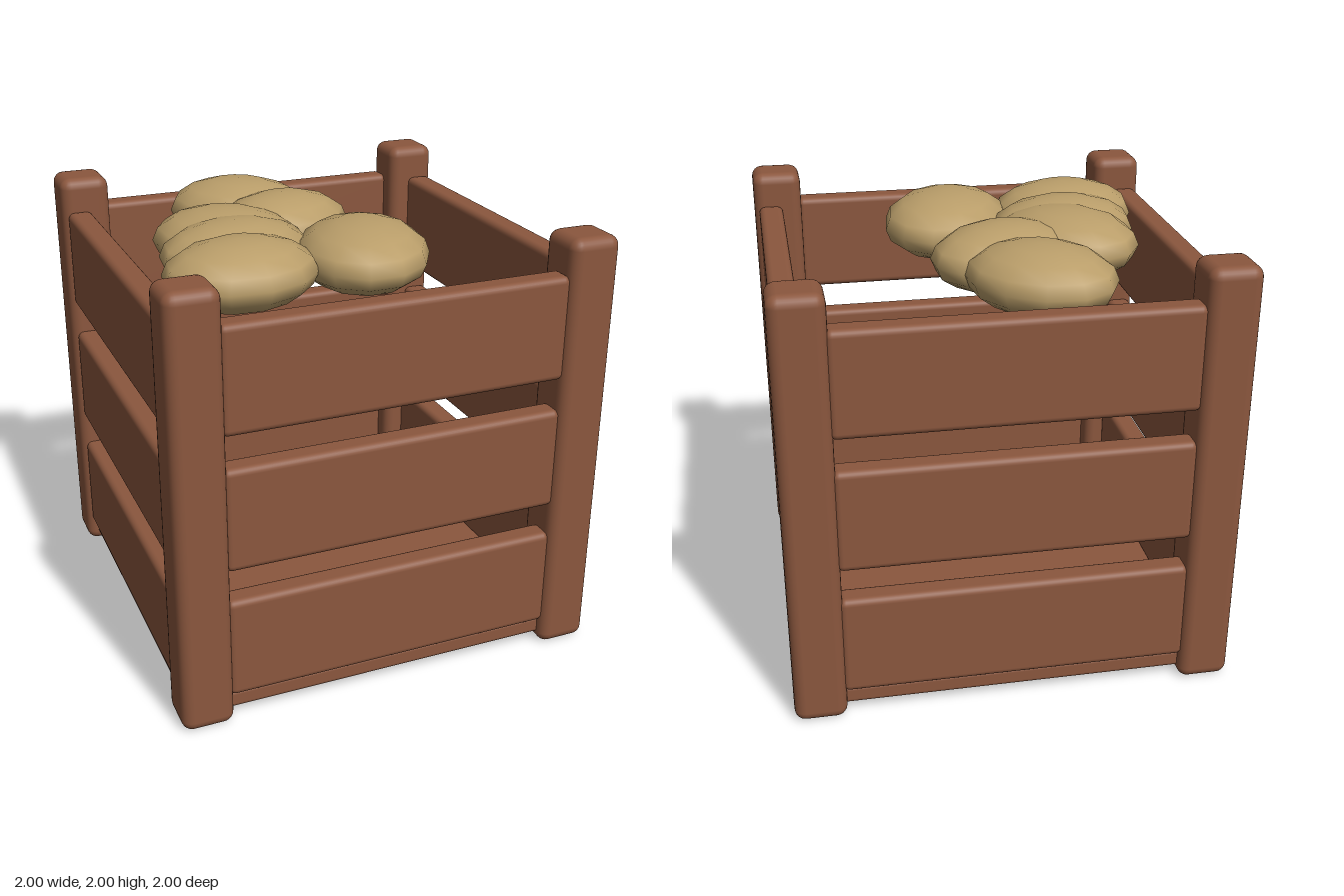
import * as THREE from 'three';
import { RoundedBoxGeometry } from 'three/addons/geometries/RoundedBoxGeometry.js';

export function createModel() {
  const model = new THREE.Group();
  model.name = 'potatoCrate';

  const wood = new THREE.MeshStandardMaterial({ color: 0x8b573e });
  wood.name = 'brownWood';
  const skin = new THREE.MeshStandardMaterial({ color: 0xba9e6a });
  skin.name = 'potatoSkin';

  const add = (name, geometry, material, x, y, z, turn = 0) => {
    const mesh = new THREE.Mesh(geometry, material);
    mesh.name = name;
    mesh.position.set(x, y, z);
    mesh.rotation.y = turn;
    model.add(mesh);
    return mesh;
  };

  // Corner posts
  const postGeometry = new RoundedBoxGeometry(0.235, 2, 0.235, 3, 0.05);
  for (const x of [-1, 1]) {
    for (const z of [-1, 1]) add('cornerPost', postGeometry, wood, x * 0.8825, 1, z * 0.8825);
  }

  // Three slats on each of the four sides
  const slatGeometry = new RoundedBoxGeometry(1.56, 0.475, 0.118, 3, 0.03);
  for (let side = 0; side < 4; side++) {
    const angle = side * Math.PI / 2;
    for (const y of [0.363, 0.983, 1.603]) {
      add('sideSlat', slatGeometry, wood, Math.sin(angle) * 0.919, y, Math.cos(angle) * 0.919, angle);
    }
  }

  // Floor board
  add('floor', new RoundedBoxGeometry(1.9, 0.085, 1.9, 2, 0.02), wood, 0, 0.0875, 0);

  // Potatoes: x, z, turn about y, half length, half width
  const potatoGeometry = new THREE.SphereGeometry(1, 12, 8);
  const potatoes = [
    [-0.18, -0.52, -0.75, 0.35, 0.29],
    [-0.08, -0.2, 0.4, 0.35, 0.27],
    [-0.4, -0.04, -0.85, 0.36, 0.3],
    [-0.43, 0.15, 0.2, 0.355, 0.28],
    [-0.5, 0.42, 0.15, 0.35, 0.285],
    [0.09, 0.355, 1.25, 0.38, 0.3],
  ];
  for (const [x, z, turn, length, width] of potatoes) {
    add('potato', potatoGeometry, skin, x, 1.845, z, turn).scale.set(length, 0.153, width);
  }

  return model;
}
